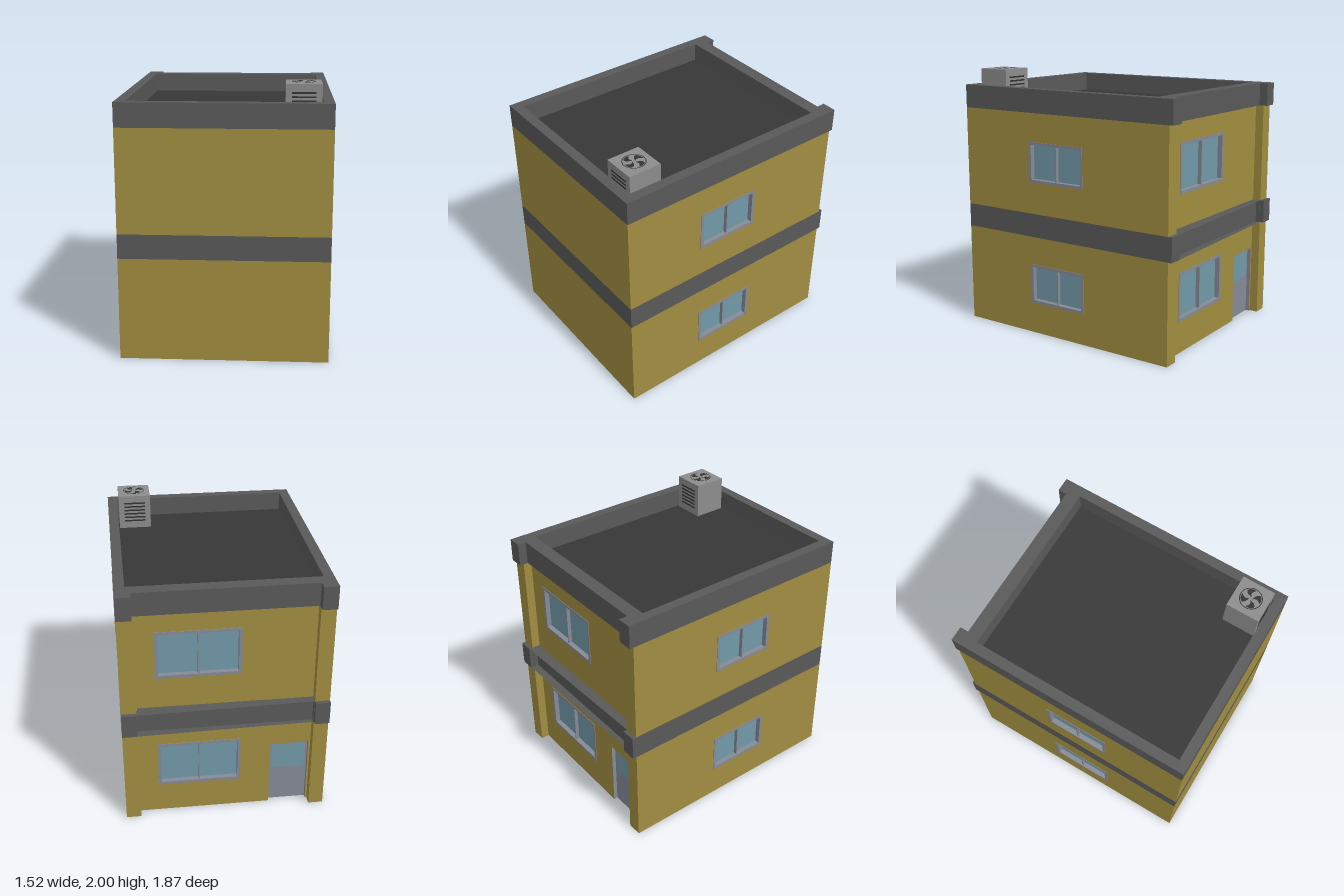
import * as THREE from 'three';

const mat = (color) => new THREE.MeshStandardMaterial({ color, side: THREE.DoubleSide });
const M = {
  wall: mat(0xa08d40), band: mat(0x595959), deck: mat(0x373737), frame: mat(0x858a96),
  glass: mat(0x7199a8), metal: mat(0x8c8c8c), dark: mat(0x333333),
};
const W = 0.755, F = 0.935, STOREY = 0.76, UPPER = 0.94;

function add(parent, name, geometry, material, x = 0, y = 0, z = 0) {
  const mesh = new THREE.Mesh(geometry, material);
  mesh.name = name;
  mesh.position.set(x, y, z);
  parent.add(mesh);
  return mesh;
}

const poly = (pts, Type = THREE.Shape) => new Type(pts.map(([x, y]) => new THREE.Vector2(x, y)));
const rect = (x0, y0, x1, y1, Type) => poly([[x0, y0], [x1, y0], [x1, y1], [x0, y1]], Type);

// Plan outline: straight front, back recessed between two corner piers
const plan = (w, front, pier, pierX, back) => [
  [-w, -front], [w, -front], [w, -pier], [pierX, -pier], [pierX, -back],
  [-pierX, -back], [-pierX, -pier], [-w, -pier],
];

// Horizontal ring: plan outline with a hole, raised to a height
function ring(parent, name, outline, hole, y, height) {
  const shape = poly(outline);
  shape.holes.push(hole);
  const geo = new THREE.ExtrudeGeometry(shape, { depth: height, bevelEnabled: false });
  geo.rotateX(-Math.PI / 2);
  return add(parent, name, geo, M.band, 0, y, 0);
}

// Facade group: local x runs along the wall, local z points outward
function facade(parent, name, x, y, z, turn) {
  const g = new THREE.Group();
  g.name = name;
  g.position.set(x, y, z);
  g.rotation.y = turn;
  parent.add(g);
  return g;
}

// Sliding window: deep frame, two panes and a thin centre post
function windowUnit(parent, x0, y0, x1, y1) {
  const g = new THREE.Group();
  g.name = 'window';
  parent.add(g);
  const t = 0.022;
  const shape = rect(x0, y0, x1, y1);
  shape.holes.push(rect(x0 + t, y0 + t, x1 - t, y1 - t, THREE.Path));
  add(g, 'windowFrame', new THREE.ExtrudeGeometry(shape, { depth: 0.044, bevelEnabled: false }),
    M.frame, 0, 0, -0.04);
  const cx = (x0 + x1) / 2, cy = (y0 + y1) / 2, h = y1 - y0 - 2 * t, w = (x1 - x0) / 2 - t;
  for (const s of [-1, 1]) {
    add(g, 'windowPane', new THREE.PlaneGeometry(w, h), M.glass, cx + s * w / 2, cy, -0.034);
  }
  add(g, 'windowPost', new THREE.BoxGeometry(0.01, h, 0.03), M.frame, cx, cy, -0.02);
}

// Wall panel with one window opening
function windowWall(g, shape, x0, y0, x1, y1) {
  const e = 0.004;
  shape.holes.push(rect(x0 + e, y0 + e, x1 - e, y1 - e, THREE.Path));
  add(g, 'wall', new THREE.ShapeGeometry(shape), M.wall);
  windowUnit(g, x0, y0, x1, y1);
}

// Recessed door with a glazed upper half
function door(g, x0, x1, top) {
  const d = 0.03, cx = (x0 + x1) / 2, w = x1 - x0;
  add(g, 'door', new THREE.BoxGeometry(w, top, 0.01), M.frame, cx, top / 2, -d - 0.005);
  add(g, 'doorGlass', new THREE.PlaneGeometry(w - 0.04, 0.21), M.glass, cx, top - 0.135, -d + 0.002);
  for (const x of [x0, x1]) {
    add(g, 'doorJamb', new THREE.PlaneGeometry(d, top), M.frame, x, top / 2, -d / 2).rotation.y = Math.PI / 2;
  }
  add(g, 'doorHead', new THREE.PlaneGeometry(w, d), M.frame, cx, top, -d / 2).rotation.x = Math.PI / 2;
}

function storey(parent, y, hasDoor) {
  const g = new THREE.Group();
  g.name = hasDoor ? 'groundStorey' : 'upperStorey';
  parent.add(g);

  // Plain front wall
  const front = facade(g, 'frontWall', 0, y, F, 0);
  add(front, 'wall', new THREE.ShapeGeometry(rect(-W, 0, W, STOREY)), M.wall);

  for (const s of [-1, 1]) {
    // Side walls
    const side = facade(g, s > 0 ? 'leftWall' : 'rightWall', s * W, y, 0, s * Math.PI / 2);
    const a = -s * F, b = s * 0.905, c = -s * 0.068;
    windowWall(side, rect(Math.min(a, b), 0, Math.max(a, b), STOREY), c - 0.248, 0.24, c + 0.248, 0.545);

    // Back corner piers
    add(g, 'pierFace', new THREE.PlaneGeometry(0.11, STOREY), M.wall,
      s * 0.7, y + STOREY / 2, -0.905).rotation.y = Math.PI;
    add(g, 'pierReturn', new THREE.PlaneGeometry(0.065, STOREY), M.wall,
      s * 0.645, y + STOREY / 2, -0.8725).rotation.y = -s * Math.PI / 2;
  }

  // Recessed back wall, notched for the door on the ground storey
  const back = facade(g, 'backWall', 0, y, -0.84, Math.PI);
  const X = 0.645, d0 = 0.34, d1 = 0.63, top = 0.54;
  const outline = hasDoor
    ? poly([[-X, 0], [d0, 0], [d0, top], [d1, top], [d1, 0], [X, 0], [X, STOREY], [-X, STOREY]])
    : rect(-X, 0, X, STOREY);
  windowWall(back, outline, -0.5, 0.24, 0.116, 0.61);
  if (hasDoor) door(back, d0, d1, top);
}

// Rooftop cooling unit with louvres and a four-bladed fan
function coolingUnit(parent, deckY) {
  const g = new THREE.Group();
  g.name = 'coolingUnit';
  g.position.set(0.545, deckY, 0.725);
  parent.add(g);
  const h = 1.996 - deckY;
  add(g, 'unitCase', new THREE.BoxGeometry(0.25, h, 0.25), M.metal, 0, h / 2, 0);
  for (const s of [-1, 1]) {
    for (let i = 0; i < 6; i++) {
      add(g, 'louvre', new THREE.BoxGeometry(0.165, 0.012, 0.004), M.dark, 0, h - 0.06 - i * 0.029, s * 0.125);
    }
  }
  const fan = new THREE.Group();
  fan.name = 'fan';
  fan.position.y = 2 - deckY;
  fan.rotation.x = -Math.PI / 2;
  g.add(fan);
  add(fan, 'fanRing', new THREE.RingGeometry(0.077, 0.083, 32), M.dark);
  const blade = new THREE.Shape();
  blade.moveTo(0.012, 0);
  blade.quadraticCurveTo(0.04, 0.028, 0.07, -0.008);
  blade.quadraticCurveTo(0.076, 0.03, 0.05, 0.05);
  blade.quadraticCurveTo(0.02, 0.05, 0.012, 0);
  for (let i = 0; i < 4; i++) {
    add(fan, 'fanBlade', new THREE.ShapeGeometry(blade, 8), M.dark).rotation.z = i * Math.PI / 2;
  }
}

export function createModel() {
  const model = new THREE.Group();
  model.name = 'building';

  storey(model, 0, true);
  storey(model, UPPER, false);

  // Band between storeys and roof parapet
  const outer = plan(W, F, -F, 0.645, -0.87);
  const inner = poly(plan(W - 0.003, F - 0.003, -0.902, 0.642, -0.837), THREE.Path);
  ring(model, 'middleBand', outer, inner, STOREY, UPPER - STOREY);
  ring(model, 'roofParapet', outer, rect(-0.68, -0.86, 0.68, 0.77, THREE.Path), 1.7, 0.175);

  // Roof deck
  const deckY = 1.73;
  add(model, 'roofDeck', new THREE.PlaneGeometry(1.36, 1.63), M.deck, 0, deckY, 0.045).rotation.x = -Math.PI / 2;
  coolingUnit(model, deckY);

  return model;
}
